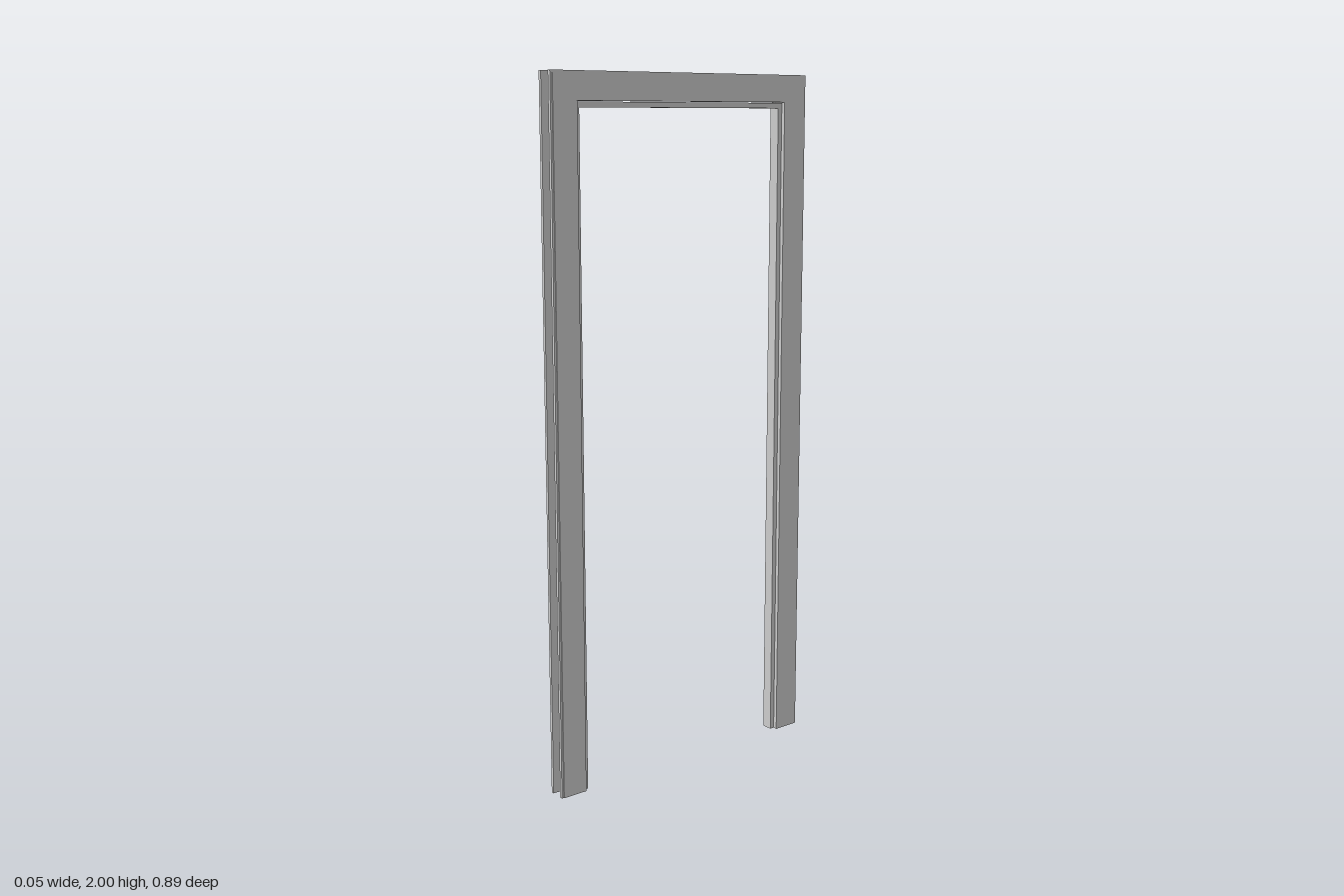
import * as THREE from 'three';

const material = new THREE.MeshStandardMaterial({ color: 0xcccccc, flatShading: true });

// Upside-down U standing on the floor: outline in z/y, thickness from x0 to x1
function portal(name, outerZ, outerY, innerZ, innerY, x0, x1) {
  const shape = new THREE.Shape([
    [-outerZ, 0], [-innerZ, 0], [-innerZ, innerY], [innerZ, innerY],
    [innerZ, 0], [outerZ, 0], [outerZ, outerY], [-outerZ, outerY],
  ].map(([z, y]) => new THREE.Vector2(z, y)));
  const geometry = new THREE.ExtrudeGeometry(shape, { depth: x1 - x0, bevelEnabled: false });
  geometry.rotateY(-Math.PI / 2);
  geometry.translate(x1, 0, 0);
  const mesh = new THREE.Mesh(geometry, material);
  mesh.name = name;
  return mesh;
}

export function createModel() {
  const group = new THREE.Group();
  group.name = 'doorFrame';

  // Lining between the two casings, slightly proud inside the opening
  group.add(portal('jambLining', 0.384, 1.921, 0.348, 1.906, -0.018, 0.015));

  // Flat casings on both faces of the wall
  group.add(portal('leftCasing', 0.444, 2, 0.362, 1.923, 0.015, 0.0245));
  group.add(portal('rightCasing', 0.444, 2, 0.362, 1.923, -0.0275, -0.018));

  // Thin raised facing on one casing
  group.add(portal('casingFacing', 0.438, 1.992, 0.362, 1.923, 0.0245, 0.027));

  return group;
}
